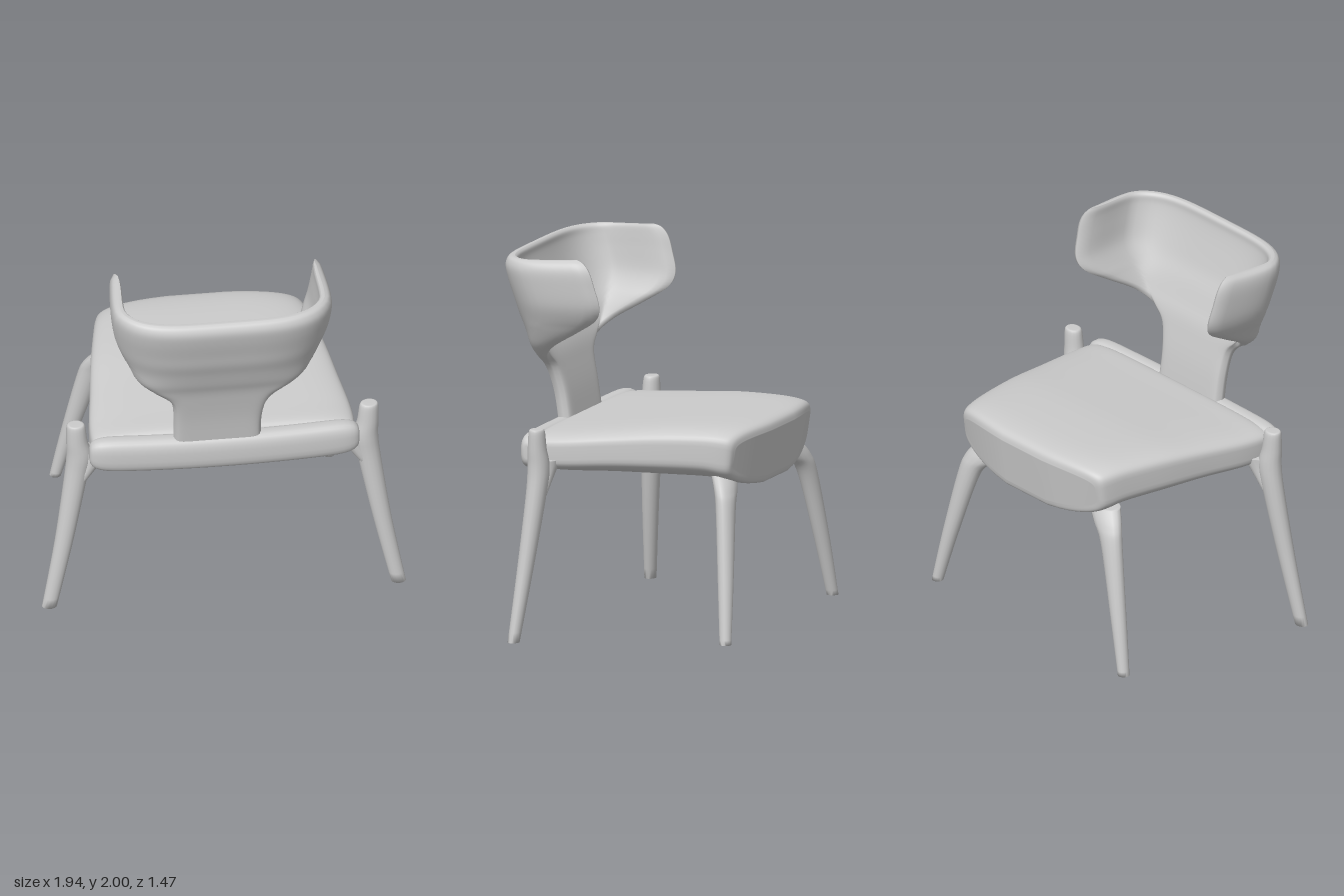
import * as THREE from 'three';

const { lerp } = THREE.MathUtils;
const material = new THREE.MeshStandardMaterial({ color: 0xcccccc, side: THREE.DoubleSide });

// Skin a list of closed rings (arrays of Vector3) and close both ends with a fan.
function loft(name, rings) {
  const n = rings[0].length, pos = [], index = [];
  rings.forEach(r => r.forEach(p => pos.push(p.x, p.y, p.z)));
  for (let j = 0; j < rings.length - 1; j++) {
    for (let i = 0; i < n; i++) {
      const a = j * n + i, b = j * n + (i + 1) % n;
      index.push(a, b, a + n, b, b + n, a + n);
    }
  }
  [0, rings.length - 1].forEach((j, end) => {
    // pair opposite points across the ring, so bent strips are capped properly
    for (let i = 0; i < n / 2 - 1; i++) {
      const a = j * n + i, b = a + 1, c = j * n + n - 1 - i, d = c - 1;
      if (end) index.push(a, b, c, b, d, c);
      else index.push(a, c, b, b, c, d);
    }
  });
  // Turn the faces outward if the enclosed volume is negative
  let volume = 0;
  const v = k => new THREE.Vector3().fromArray(pos, index[k] * 3);
  for (let k = 0; k < index.length; k += 3) volume += v(k).dot(v(k + 1).cross(v(k + 2)));
  if (volume < 0) index.reverse();
  const geometry = new THREE.BufferGeometry();
  geometry.setAttribute('position', new THREE.Float32BufferAttribute(pos, 3));
  geometry.setIndex(index);
  geometry.computeVertexNormals();
  const mesh = new THREE.Mesh(geometry, material);
  mesh.name = name;
  return mesh;
}

// Unit superellipse: power 2 is a circle, higher is squarer.
function unitRing(count, power) {
  const f = c => Math.sign(c) * Math.abs(c) ** (2 / power);
  return Array.from({ length: count }, (_, i) => {
    const a = (i + 0.5) / count * Math.PI * 2;
    return [f(Math.cos(a)), f(Math.sin(a))];
  });
}

// Smooth a table of rows by linear or curved interpolation between its columns.
function refine(rows, count) {
  const out = [];
  for (let i = 0; i <= count; i++) {
    const t = i / count * (rows.length - 1), k = Math.min(Math.floor(t), rows.length - 2), f = t - k;
    const p = rows[Math.max(k - 1, 0)], a = rows[k], b = rows[k + 1], q = rows[Math.min(k + 2, rows.length - 1)];
    out.push(a.map((_, c) => {
      const m0 = (b[c] - p[c]) / 2, m1 = (q[c] - a[c]) / 2, d = b[c] - a[c];
      return a[c] + f * (m0 + f * (3 * d - 2 * m0 - m1 + f * (m0 + m1 - 2 * d)));
    }));
  }
  return out;
}

// Seat: columns are z, half width, top, side bottom, belly, forward bow
function seat() {
  const rows = [
    [0.43, 0.66, 1.05, 0.91, 0.01, 0],
    [0.40, 0.70, 1.085, 0.88, 0.01, 0],
    [0.25, 0.70, 1.10, 0.875, 0.02, 0],
    [0.00, 0.665, 1.125, 0.89, 0.045, 0],
    [-0.25, 0.63, 1.15, 0.895, 0.055, 0.01],
    [-0.50, 0.585, 1.158, 0.895, 0.06, 0.03],
    [-0.62, 0.56, 1.15, 0.88, 0.075, 0.05],
    [-0.665, 0.54, 1.13, 0.885, 0.08, 0.06],
    [-0.68, 0.51, 1.09, 0.92, 0.08, 0.06],
  ];
  const unit = unitRing(64, 5);
  return loft('seat', refine(rows, 48).map(([z, w, top, bottom, belly, bow]) => unit.map(([u, v]) => {
    const arch = 1 - u * u, y = lerp(bottom, top, (v + 1) / 2);
    const low = (1 - v) / 2;
    return new THREE.Vector3(u * w, y - belly * arch * low, z - bow * arch + bow * low * 0.5);
  })));
}

// Rear rail: a rounded bar, slightly bowed backward
function rail() {
  const unit = unitRing(24, 2.8), rings = [];
  for (let i = 0; i <= 32; i++) {
    const s = -Math.cos(i / 32 * Math.PI), k = 0.35 + 0.65 * (1 - Math.abs(s) ** 16) ** 0.5;
    rings.push(unit.map(([u, v]) => new THREE.Vector3(
      s * 0.72, 0.985 - 0.01 * (1 - s * s) + v * 0.1 * k, 0.435 + 0.025 * (1 - s * s) + u * 0.06 * k)));
  }
  return loft('rearRail', rings);
}

// Backrest: columns are y, half width, back z, tip z, half thickness, x shift
function backrest() {
  const rows = [
    [1.00, 0.235, 0.445, 0.445, 0.042, -0.04],
    [1.20, 0.235, 0.475, 0.475, 0.042, -0.04],
    [1.35, 0.265, 0.508, 0.502, 0.042, -0.03],
    [1.43, 0.35, 0.53, 0.49, 0.042, -0.025],
    [1.50, 0.425, 0.56, 0.42, 0.042, -0.025],
    [1.59, 0.485, 0.595, 0.27, 0.04, -0.02],
    [1.67, 0.53, 0.63, 0.15, 0.038, -0.02],
    [1.75, 0.56, 0.655, 0.115, 0.036, -0.018],
    [1.85, 0.575, 0.685, 0.14, 0.036, -0.018],
    [1.92, 0.58, 0.70, 0.165, 0.034, -0.018],
    [1.96, 0.575, 0.695, 0.20, 0.026, -0.02],
    [1.975, 0.565, 0.69, 0.24, 0.008, -0.02],
  ];
  const N = 48;
  return loft('backrest', refine(rows, 55).map(([y, w, back, tip, thick, shift]) => {
    // U-shaped plan of this height, evenly spaced along its length
    const plan = [];
    for (let i = 0; i <= 80; i++) {
      const a = (i / 80 - 0.5) * Math.PI, c = Math.max(Math.cos(a), 0);
      const curl = 1 - 0.07 * Math.max(0, Math.abs(i / 40 - 1) - 0.7) / 0.3 * Math.min(1, (back - tip) / 0.4);
      plan.push(new THREE.Vector3(
        Math.sign(Math.sin(a)) * Math.abs(Math.sin(a)) ** 0.5 * w * curl, y, tip + (back - tip) * c ** 0.5));
    }
    const path = new THREE.CatmullRomCurve3(plan).getSpacedPoints(N);
    const side = sign => path.map((p, i) => {
      const d = path[Math.min(i + 1, N)].clone().sub(path[Math.max(i - 1, 0)]).normalize();
      const u = Math.abs(i / N * 2 - 1), t = sign * thick * (0.15 + 0.85 * Math.sqrt(1 - u ** 12));
      const lift = 0.025 * u ** 3 * Math.max(0, (y - 1.75) / 0.225);
      return new THREE.Vector3(p.x - d.z * t + shift, y + lift, p.z + d.x * t);
    });
    return [...side(1), ...side(-1).reverse()];
  }));
}

// Legs: columns are x, y, z, x radius, z radius
function leg(name, rows, side, shift) {
  const unit = unitRing(16, 2);
  return loft(name, refine(rows, 30).map(([x, y, z, rx, rz]) =>
    unit.map(([u, v]) => new THREE.Vector3(side * (x + u * rx) + shift, y, z + v * rz))));
}

const rearLeg = [
  [0.785, 1.13, 0.355, 0.035, 0.028],
  [0.783, 1.115, 0.355, 0.05, 0.042],
  [0.777, 1.02, 0.355, 0.057, 0.05],
  [0.765, 0.92, 0.352, 0.068, 0.058],
  [0.785, 0.78, 0.357, 0.062, 0.055],
  [0.85, 0.40, 0.39, 0.05, 0.044],
  [0.932, 0.0, 0.425, 0.04, 0.031],
];
const frontLeg = [
  [0.43, 0.90, -0.56, 0.11, 0.06],
  [0.50, 0.82, -0.60, 0.095, 0.055],
  [0.56, 0.71, -0.625, 0.067, 0.05],
  [0.655, 0.35, -0.665, 0.046, 0.042],
  [0.73, 0.03, -0.695, 0.031, 0.032],
];

// Bracket blending a rear leg into the underside of the seat
const rearBracket = [
  [0.66, 0.95, 0.34, 0.09, 0.07],
  [0.70, 0.88, 0.345, 0.06, 0.058],
  [0.76, 0.77, 0.355, 0.035, 0.045],
];

export function createModel() {
  const chair = new THREE.Group();
  chair.name = 'chair';
  chair.add(seat(), rail(), backrest());
  for (const [side, label] of [[1, 'left'], [-1, 'right']]) {
    chair.add(
      leg(label + 'RearLeg', rearLeg, side, 0),
      leg(label + 'RearBracket', rearBracket, side, 0),
      leg(label + 'FrontLeg', frontLeg, side, -0.03),
    );
  }
  return chair;
}
